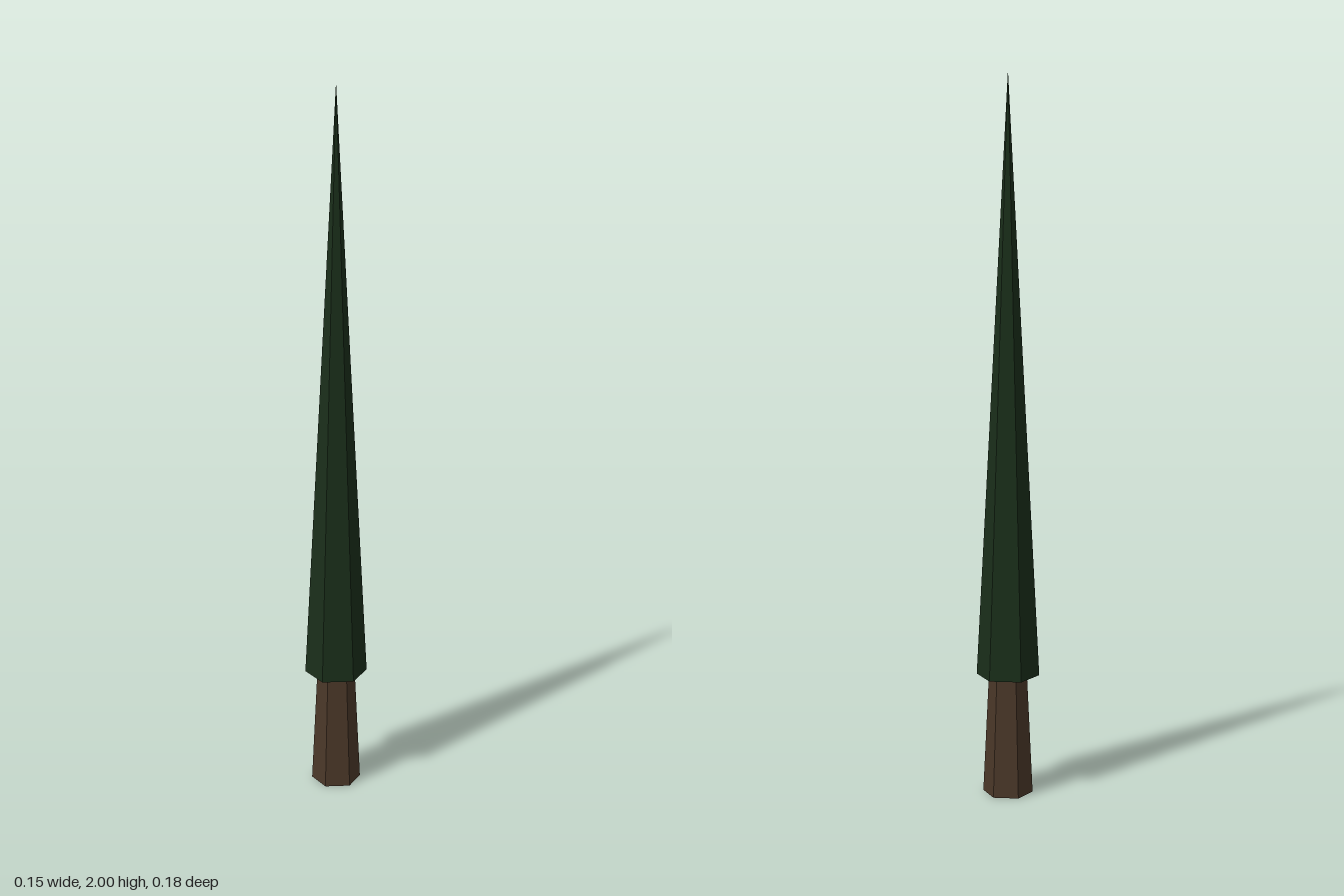
import * as THREE from 'three';

const SIDES = 6;

// Upright six-sided part between two heights, with a corner facing +z
function taperedPart(name, topRadius, bottomRadius, y0, y1, color) {
  const geometry = new THREE.CylinderGeometry(topRadius, bottomRadius, y1 - y0, SIDES);
  const material = new THREE.MeshStandardMaterial({ color, flatShading: true });
  const mesh = new THREE.Mesh(geometry, material);
  mesh.name = name;
  mesh.position.y = (y0 + y1) / 2;
  return mesh;
}

export function createModel() {
  const tree = new THREE.Group();
  tree.name = 'tree';
  // Trunk, tucked slightly into the foliage
  tree.add(taperedPart('trunk', 0.053, 0.07, 0, 0.35, 0x4a3728));
  // Tall narrow foliage cone with a closed underside
  tree.add(taperedPart('foliage', 0, 0.088, 0.34, 2, 0x1a2e1a));
  return tree;
}
